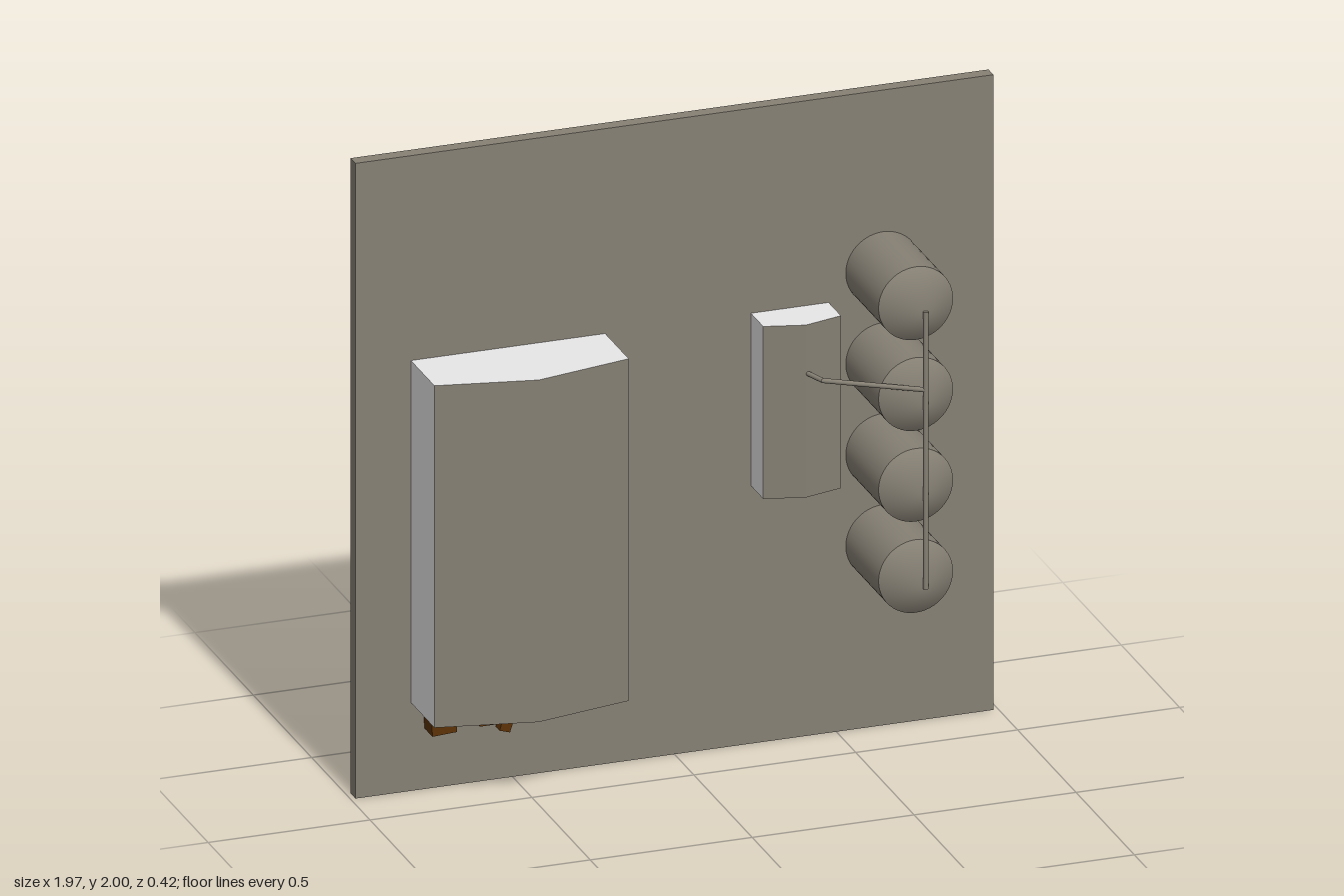
import * as THREE from 'three';
import { mergeVertices } from 'three/addons/utils/BufferGeometryUtils.js';

export function createModel() {
  const model = new THREE.Group();
  const side = THREE.DoubleSide;
  const stone = new THREE.MeshStandardMaterial({ color: 0x868074, side });
  const paleGrey = new THREE.MeshStandardMaterial({ color: 0xe7e7e7, side });
  const brown = new THREE.MeshStandardMaterial({ color: 0x5c3307, side });
  stone.name = 'stone grey';
  paleGrey.name = 'pale grey';
  brown.name = 'dark brown';
  const BACK = -0.208, FACE = -0.166;

  function add(name, geometry, material, x = 0, y = 0, z = 0, parent = model) {
    const mesh = new THREE.Mesh(geometry, material);
    mesh.name = name;
    mesh.position.set(x, y, z);
    parent.add(mesh);
    return mesh;
  }

  // Box without its back face (the last six indices)
  function openBox(w, h, d) {
    const box = new THREE.BoxGeometry(w, h, d);
    box.setIndex([...box.index.array].slice(0, 30));
    box.clearGroups();
    return box;
  }

  // Wall panel: a front sheet with a rim turned backwards, open behind
  add('wallPanel', openBox(1.97, 2, FACE - BACK), stone, 0, 1, (BACK + FACE) / 2);

  // Cabinets: pale top, bottom and sides, a front folded outwards along its middle, open behind
  function cabinet(name, x, width, y0, y1, back, sideZ, peak) {
    const w = width / 2;
    const corners = [[w, back], [w, sideZ], [0, peak], [-w, sideZ], [-w, back]];
    const group = new THREE.Group();
    group.name = name;
    group.position.x = x;
    model.add(group);

    const outline = new THREE.Shape(corners.map(([cx, cz]) => new THREE.Vector2(cx, -cz)));
    const cap = new THREE.ShapeGeometry(outline).rotateX(-Math.PI / 2);
    add(name + 'Top', cap, paleGrey, 0, y1, 0, group);
    add(name + 'Bottom', cap, paleGrey, 0, y0, 0, group);

    for (let i = 0; i < 4; i++) {
      const [ax, az] = corners[i], [bx, bz] = corners[i + 1];
      const isSide = i === 0 || i === 3;
      const panel = add(name + (isSide ? 'Side' : 'Front'),
        new THREE.PlaneGeometry(Math.hypot(bx - ax, bz - az), y1 - y0), isSide ? paleGrey : stone,
        (ax + bx) / 2, (y0 + y1) / 2, (az + bz) / 2, group);
      panel.rotation.y = Math.atan2(bz - az, ax - bx);
    }
  }
  cabinet('largeCabinet', -0.514, 0.6, 0.278, 1.355, FACE, 0.036, 0.098);
  cabinet('smallCabinet', 0.356, 0.24, 0.812, 1.355, FACE - 0.014, -0.06, -0.028);

  // Four tanks with smoothly shaded pointed noses
  const bodyGeometry = new THREE.CylinderGeometry(0.115, 0.115, 0.281, 48, 1, true).rotateX(Math.PI / 2);
  let noseGeometry = new THREE.ConeGeometry(0.115, 0.085, 48, 1, true).rotateX(Math.PI / 2);
  noseGeometry.deleteAttribute('normal');
  noseGeometry.deleteAttribute('uv');
  noseGeometry = mergeVertices(noseGeometry);
  noseGeometry.computeVertexNormals();
  for (const y of [0.58, 0.867, 1.153, 1.439]) {
    add('tankBody', bodyGeometry, stone, 0.644, y, FACE + 0.1405);
    add('tankNose', noseGeometry, stone, 0.644, y, FACE + 0.281 + 0.0425);
  }

  // Pipework joining the tank tips to the small cabinet
  function pipe(name, a, b) {
    const from = new THREE.Vector3(...a), to = new THREE.Vector3(...b);
    const dir = to.clone().sub(from);
    const rod = add(name, new THREE.CylinderGeometry(0.0075, 0.0075, dir.length(), 16), stone);
    rod.position.copy(from).add(to).multiplyScalar(0.5);
    rod.quaternion.setFromUnitVectors(new THREE.Vector3(0, 1, 0), dir.normalize());
  }
  pipe('manifoldPipe', [0.644, 0.573, 0.2005], [0.644, 1.446, 0.2005]);
  pipe('feedPipe', [0.644, 1.2, 0.2], [0.385, 1.2, 0.032]);
  pipe('feedPipeEnd', [0.387, 1.2, 0.035], [0.361, 1.2, -0.04]);

  // Brown blocks, open behind: x, y, size, tilt, back z, front z
  const blocks = [
    [-0.736, 0.231, 0.076, 0.06, FACE - 0.005, -0.098],
    [-0.531, 0.177, 0.034, -0.3, FACE - 0.003, -0.132],
    [-0.472, 0.23, 0.034, 0.45, FACE - 0.003, -0.132],
    [-0.389, 0.222, 0.034, -0.3, FACE - 0.003, -0.132],
    [-0.639, 0.246, 0.054, 0, FACE, -0.114],
    [-0.586, 0.246, 0.054, 0, FACE, -0.114],
    [-0.612, 0.246, 0.054, 0, -0.114, -0.06],
  ];
  for (const [x, y, size, tilt, z0, z1] of blocks) {
    const block = add('block', openBox(size, size, z1 - z0), brown, x, y, (z0 + z1) / 2);
    block.rotation.z = tilt;
  }

  return model;
}
